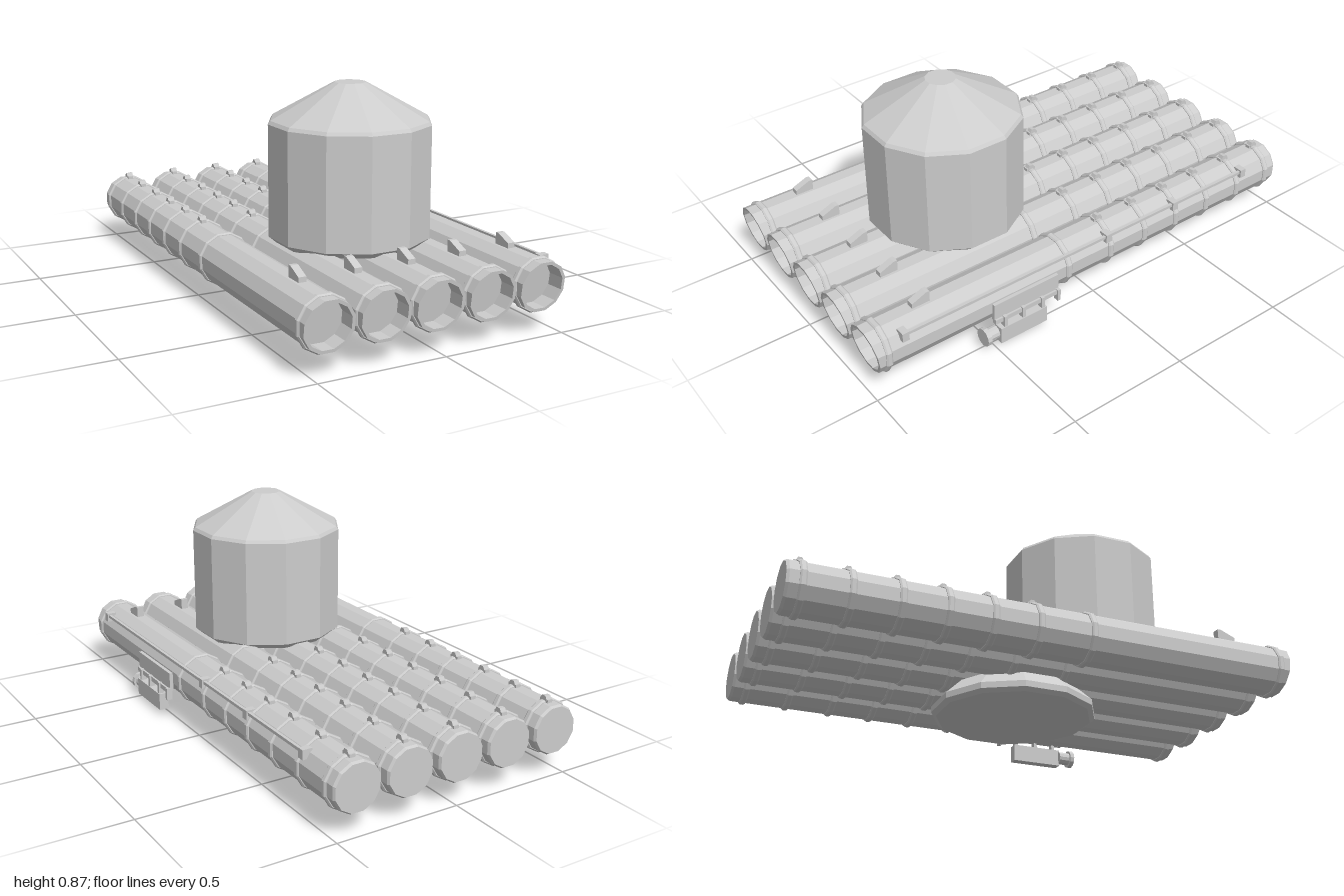
import * as THREE from 'three';

const SIDES = 12;
const CX = -0.015; // centre line of the tube row, drum and base

export function createModel() {
  const model = new THREE.Group();
  model.name = 'launcher';
  const grey = new THREE.MeshStandardMaterial({ color: 0xcccccc });
  grey.name = 'light grey';
  grey.flatShading = true;

  function add(parent, name, geometry, x = 0, y = 0, z = 0) {
    const mesh = new THREE.Mesh(geometry, grey);
    mesh.name = name;
    mesh.position.set(x, y, z);
    parent.add(mesh);
    return mesh;
  }

  // Twelve-sided turned solid with flats facing the axes
  function turned(profile) {
    const points = profile.map(([r, h]) => new THREE.Vector2(r, h));
    return new THREE.LatheGeometry(points, SIDES, Math.PI / SIDES);
  }

  const box = (w, h, d) => new THREE.BoxGeometry(w, h, d);

  // Base and drum
  add(model, 'base', turned([
    [0, 0], [0.305, 0], [0.324, 0.013], [0.324, 0.037], [0.252, 0.105], [0, 0.105],
  ]), CX, 0, 0.04);
  add(model, 'drum', turned([
    [0, 0.262], [0.288, 0.262], [0.314, 0.285], [0.314, 0.715],
    [0.305, 0.728], [0.06, 0.865], [0, 0.865],
  ]), CX, 0, 0.35);

  // Tube with a recessed, slightly raked muzzle
  const tubeGeometry = turned([
    [0, -1], [0.092, -1], [0.098, -0.99], [0.098, 1],
    [0.086, 1], [0.086, 0.93], [0, 0.93],
  ]).rotateX(Math.PI / 2);
  const p = tubeGeometry.attributes.position;
  for (let i = 0; i < p.count; i++) {
    if (p.getZ(i) > 0.9) p.setZ(i, p.getZ(i) - (0.095 - p.getY(i)) * 0.14);
  }

  // Clamping band with bevelled edges
  const bandGeometry = turned([
    [0.094, -0.013], [0.101, -0.013], [0.106, -0.007],
    [0.106, 0.007], [0.101, 0.013], [0.094, 0.013],
  ]).rotateX(Math.PI / 2);

  // Wedge lug, tall at the rear
  const wedge = new THREE.Shape();
  wedge.moveTo(0, 0);
  wedge.lineTo(0.075, 0);
  wedge.lineTo(0.075, 0.025);
  wedge.lineTo(0.015, 0.05);
  wedge.lineTo(0, 0.05);
  const lugGeometry = new THREE.ExtrudeGeometry(wedge, { depth: 0.03, bevelEnabled: false })
    .rotateY(-Math.PI / 2).translate(0.015, 0, 0);

  const clipGeometry = new THREE.CylinderGeometry(0.014, 0.017, 0.026, 6).rotateZ(Math.PI / 2);
  const bands = [0.945, 0.138, -0.073, -0.25, -0.42, -0.592, -0.77, -0.942];

  for (let i = 0; i < 5; i++) {
    const tube = new THREE.Group();
    tube.name = 'launchTube';
    tube.position.set(CX + (i - 2) * 0.2165, 0.181, 0);
    model.add(tube);
    add(tube, 'tubeBody', tubeGeometry);
    add(tube, 'tubeLug', lugGeometry, 0, 0.089, 0.72);
    bands.forEach((z, k) => {
      add(tube, 'band', bandGeometry, 0, 0, z);
      if (k > 1) {
        add(tube, 'bandClip', clipGeometry, 0, 0.106, z);
        add(tube, 'clipFoot', box(0.022, 0.02, 0.042), 0, 0.097, z);
      }
    });
  }

  // Conduit along the outer tube, held by brackets
  add(model, 'conduit', box(0.012, 0.012, 1.69), 0.505, 0.252, 0.04);
  for (const z of [0.875, -0.058, -0.41, -0.797]) {
    add(model, 'conduitBracket', box(0.04, 0.037, 0.028), 0.497, 0.246, z);
  }

  // Sighting unit hung from the outer tube
  const sight = new THREE.Group();
  sight.name = 'sight';
  model.add(sight);
  add(sight, 'mountPlate', box(0.016, 0.075, 0.3), 0.519, 0.163, 0.352);
  add(sight, 'sightBody', box(0.04, 0.07, 0.215), 0.525, 0.055, 0.377);
  for (const z of [0.46, 0.375, 0.285, 0.208]) {
    add(sight, 'mountBolt', box(0.024, 0.05, 0.014), 0.53, 0.112, z);
  }
  add(sight, 'mountRail', box(0.018, 0.02, 0.3), 0.526, 0.124, 0.352);
  add(sight, 'eyepiece', new THREE.CylinderGeometry(0.027, 0.027, 0.06, 12).rotateX(Math.PI / 2),
    0.51, 0.056, 0.51);
  add(sight, 'eyepieceRim', new THREE.CylinderGeometry(0.037, 0.037, 0.018, 12).rotateX(Math.PI / 2),
    0.51, 0.056, 0.535);

  return model;
}
